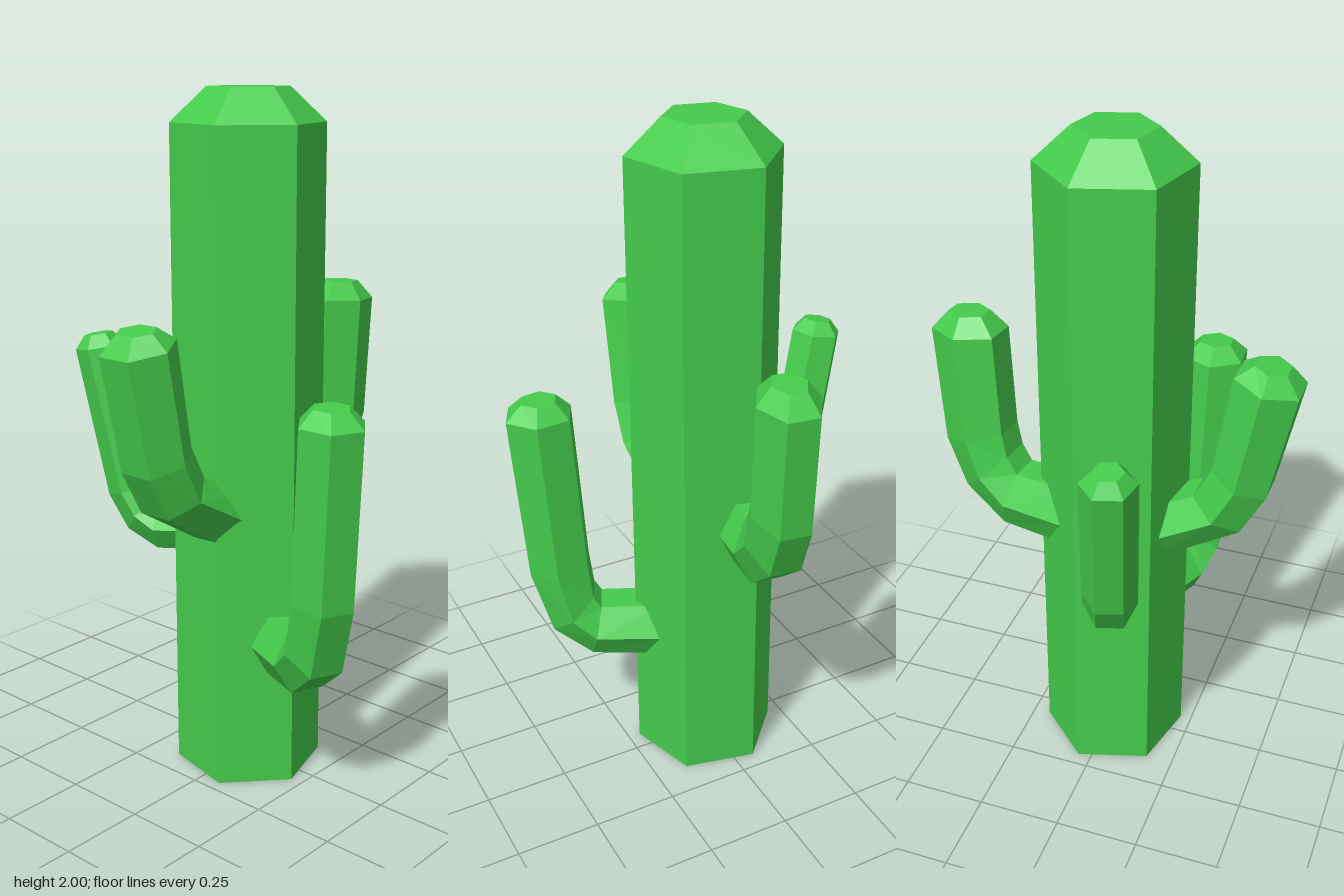
import * as THREE from 'three';

const skin = new THREE.MeshStandardMaterial({ color: 0x45cc4c, flatShading: true });

// Six-sided trunk with a chamfered top
function makeTrunk() {
  const profile = [[0, 0], [0.217, 0], [0.217, 1.905], [0.115, 2], [0, 2]]
    .map(([r, y]) => new THREE.Vector2(r, y));
  const trunk = new THREE.Mesh(
    new THREE.LatheGeometry(profile, 6, THREE.MathUtils.degToRad(47)), skin);
  trunk.position.set(-0.008, 0, 0.002);
  trunk.name = 'trunk';
  return trunk;
}

// Six-sided bent arm. Each ring is [inner reach, inner y, outer reach, outer y],
// measured in the upright plane through the origin along the arm's heading.
// The last ring is the small flat top of the chamfered tip.
function makeArm({ name, origin, heading, width, rings }) {
  const dir = new THREE.Vector3(heading[0], 0, heading[1]).normalize();
  const side = new THREE.Vector3(-dir.z, 0, dir.x);
  const point = (s, y, t) => new THREE.Vector3(origin[0], y, origin[1])
    .addScaledVector(dir, s).addScaledVector(side, t);

  const loops = rings.map(([si, yi, so, yo], i) => {
    const w = i === rings.length - 1 ? width * 0.56 : width;
    const sm = (si + so) / 2, ym = (yi + yo) / 2;
    return [
      point(so, yo, w / 2), point(sm, ym, w), point(si, yi, w / 2),
      point(si, yi, -w / 2), point(sm, ym, -w), point(so, yo, -w / 2),
    ];
  });

  const corners = [];
  for (let i = 0; i < loops.length - 1; i++) {
    const a = loops[i], b = loops[i + 1];
    for (let j = 0; j < 6; j++) {
      const k = (j + 1) % 6;
      corners.push(a[j], b[j], b[k], a[j], b[k], a[k]);
    }
  }
  // Close both ends
  const first = loops[0], last = loops[loops.length - 1];
  for (let k = 1; k < 5; k++) {
    corners.push(first[0], first[k], first[k + 1]);
    corners.push(last[0], last[k + 1], last[k]);
  }

  const geometry = new THREE.BufferGeometry().setFromPoints(corners);
  geometry.computeVertexNormals();
  const arm = new THREE.Mesh(geometry, skin);
  arm.name = name;
  return arm;
}

const arms = [
  {
    name: 'leftArm', origin: [0, -0.065], heading: [0.99, 0.13], width: 0.092,
    rings: [
      [0.1, 0.935, 0.1, 0.735], [0.27, 0.935, 0.32, 0.75], [0.3, 0.985, 0.445, 0.85],
      [0.315, 1.06, 0.505, 1.0], [0.33, 1.37, 0.53, 1.36], [0.375, 1.42, 0.485, 1.415],
    ],
  },
  {
    name: 'rightArm', origin: [0, 0.006], heading: [-1, 0], width: 0.107,
    rings: [
      [0.09, 0.88, 0.13, 0.705], [0.26, 0.96, 0.4, 0.87], [0.31, 1.06, 0.47, 1.0],
      [0.36, 1.365, 0.54, 1.33], [0.41, 1.4, 0.5, 1.385],
    ],
  },
  {
    name: 'frontArm', origin: [0.021, 0], heading: [-0.42, 0.907], width: 0.097,
    rings: [
      [0.15, 0.525, 0.15, 0.345], [0.33, 0.525, 0.36, 0.357], [0.352, 0.56, 0.476, 0.45],
      [0.365, 0.67, 0.535, 0.65], [0.395, 1.165, 0.573, 1.16], [0.435, 1.21, 0.53, 1.205],
    ],
  },
  {
    name: 'backArm', origin: [-0.003, 0], heading: [-0.31, -0.95], width: 0.078,
    rings: [
      [0.1, 0.795, 0.1, 0.665], [0.278, 0.777, 0.285, 0.64], [0.3, 0.8, 0.385, 0.69],
      [0.322, 0.835, 0.447, 0.79], [0.422, 1.254, 0.547, 1.233], [0.455, 1.287, 0.525, 1.275],
    ],
  },
];

export function createModel() {
  const cactus = new THREE.Group();
  cactus.name = 'cactus';
  cactus.add(makeTrunk(), ...arms.map(makeArm));
  return cactus;
}
